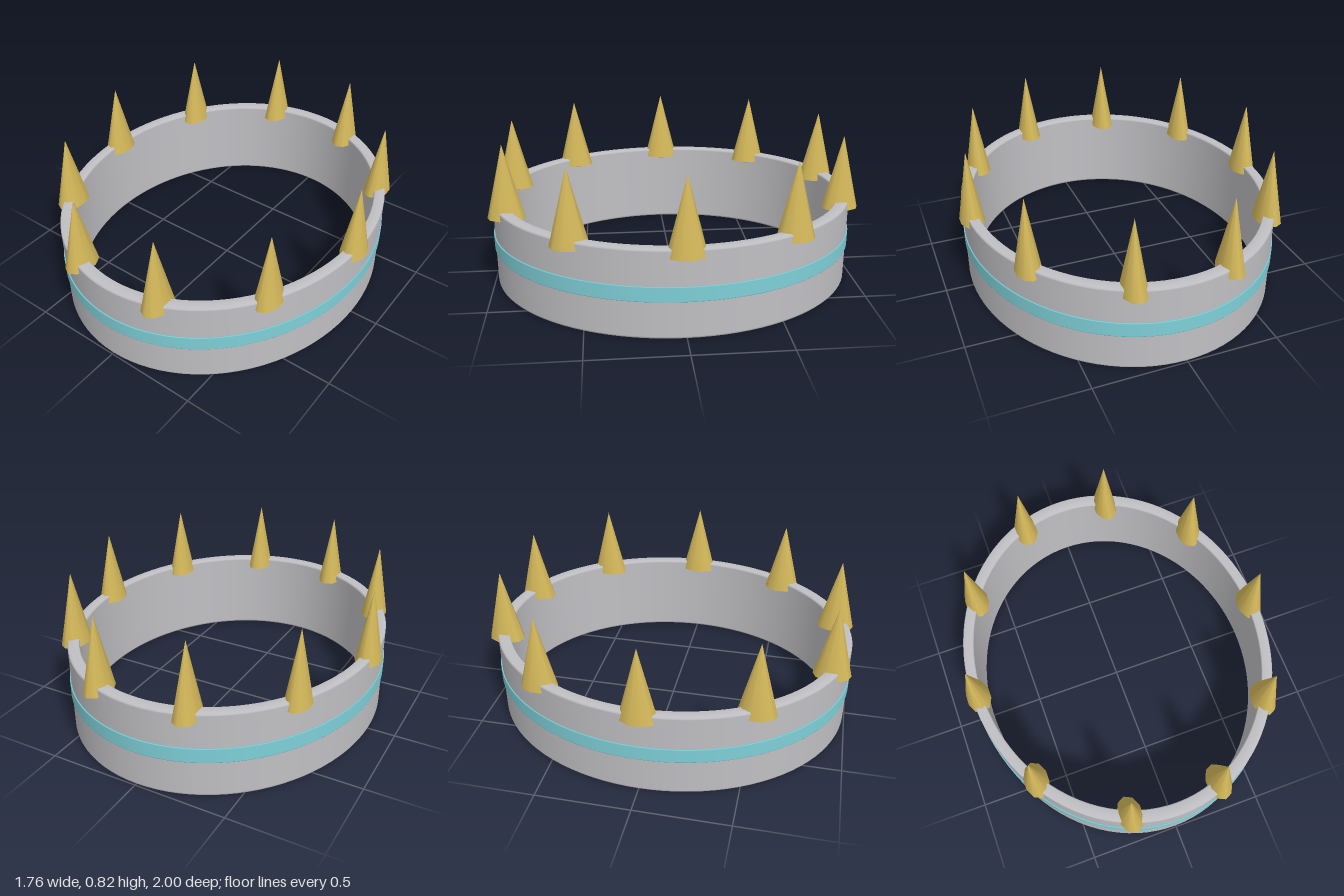
import * as THREE from 'three';

const mat = (name, color, side = THREE.FrontSide) => {
  const m = new THREE.MeshStandardMaterial({ color, side });
  m.name = name;
  return m;
};

export function createModel() {
  const silver = mat('silver', 0xc0c0c4);
  const gold = mat('gold', 0xd4b85a);
  const turquoise = mat('turquoise', 0x7fd0d8);
  const pearl = mat('pearl', 0xe6e6e0);

  const crown = new THREE.Group();
  crown.name = 'crown';
  const add = (name, geometry, material) => {
    const mesh = new THREE.Mesh(geometry, material);
    mesh.name = name;
    crown.add(mesh);
    return mesh;
  };
  // Closed ring turned from [radius, height] points, squeezed to an oval
  const ovalRing = (points) => {
    const closed = [...points, points[0]].map(([r, y]) => new THREE.Vector2(r, y));
    return new THREE.LatheGeometry(closed, 96).scale(0.855, 1, 1);
  };

  // Band with slightly softened rims
  const inner = 0.925, outer = 0.993, top = 0.47, b = 0.006;
  add('band', ovalRing([
    [inner + 0.034, 0], [outer - b, 0], [outer, b], [outer, 2 * b],
    [outer, top - 2 * b], [outer, top - b], [outer - b, top], [inner + 0.034, top],
    [inner + b, top], [inner, top - b], [inner, top - 2 * b],
    [inner, 2 * b], [inner, b], [inner + b, 0],
  ]), silver);

  // Coloured stripe around the outside
  add('stripe', ovalRing([
    [0.985, 0.2], [0.999, 0.2], [1, 0.202], [1, 0.204],
    [1, 0.276], [1, 0.278], [0.999, 0.28], [0.985, 0.28],
  ]), turquoise);

  // Ten spikes, each over a pearl set in the rim
  const spike = new THREE.ConeGeometry(0.1, 0.4, 10).scale(0.68, 1, 1);
  const bead = new THREE.SphereGeometry(0.05, 20, 14).scale(0.85, 1, 1.2);
  for (let i = 0; i < 10; i++) {
    const a = (i / 10) * Math.PI * 2;
    const x = 0.815 * Math.cos(a), z = 0.942 * Math.sin(a);
    add('spike', spike, gold).position.set(x, 0.625, z);
    add('pearl', bead, pearl).position.set(x, 0.45, z);
  }
  return crown;
}
